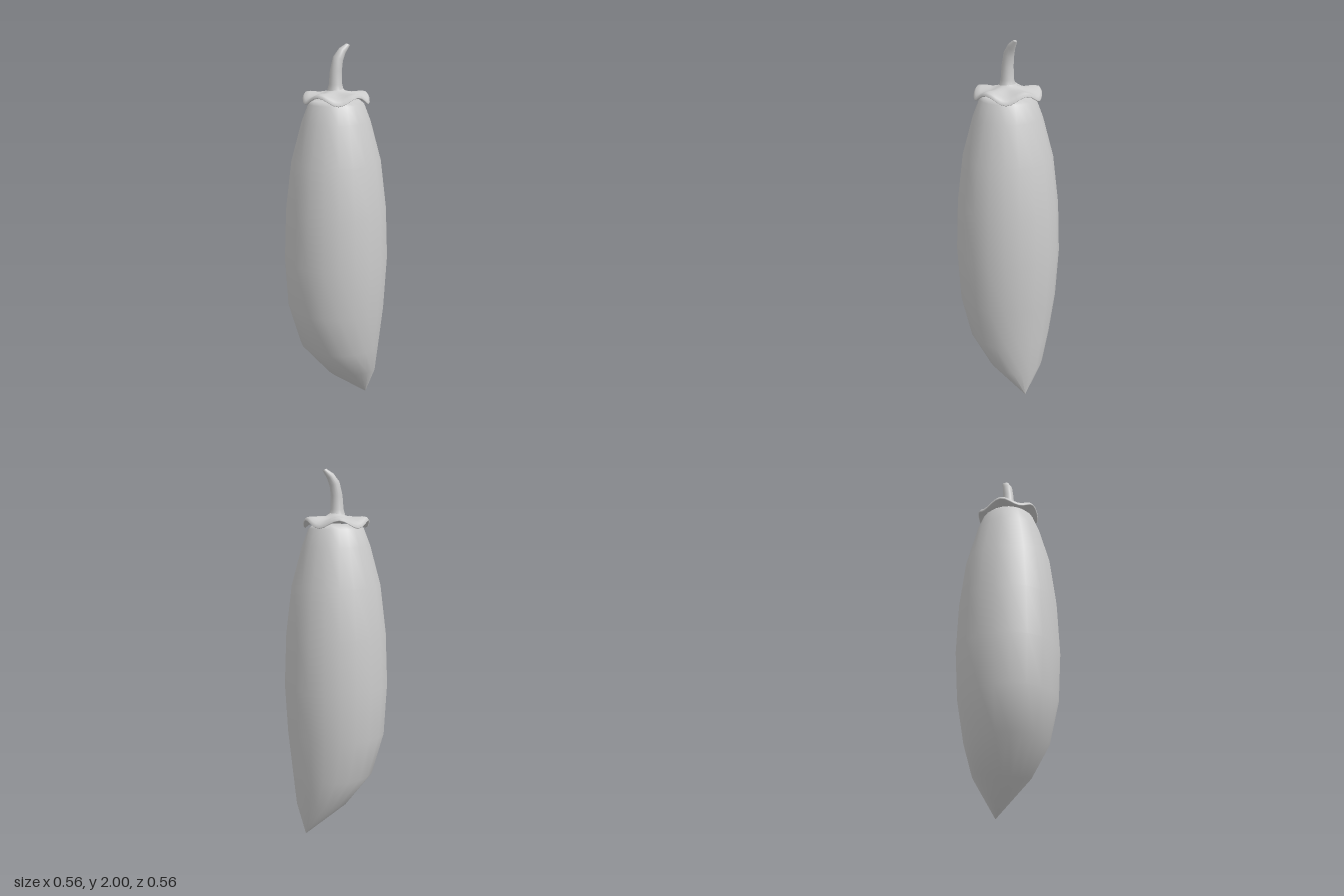
import * as THREE from 'three';

const SIDES = 20;

// Skin a stack of rings, listed from top to bottom (or outside to inside underneath)
function loft(name, rings, point, sides = SIDES) {
  const pos = [], index = [];
  rings.forEach((ring, i) => {
    for (let j = 0; j < sides; j++) {
      pos.push(...point(ring, (j / sides) * Math.PI * 2));
      if (i === rings.length - 1) continue;
      const a = i * sides + j, b = i * sides + (j + 1) % sides;
      index.push(a, b, a + sides, b, b + sides, a + sides);
    }
  });
  const geometry = new THREE.BufferGeometry();
  geometry.setAttribute('position', new THREE.Float32BufferAttribute(pos, 3));
  geometry.setIndex(index);
  geometry.computeVertexNormals();
  const mesh = new THREE.Mesh(geometry, new THREE.MeshStandardMaterial({ color: 0xcccccc }));
  mesh.name = name;
  return mesh;
}

export function createModel() {
  const model = new THREE.Group();
  model.name = 'pepper';

  // Fruit: [y, centre x, half width x, half width z, lift of front and back]
  const body = [
    [1.715, 0, 0, 0, 0],
    [1.71, 0, 0.125, 0.125, 0],
    [1.69, 0, 0.147, 0.147, 0],
    [1.60, 0, 0.182, 0.182, 0],
    [1.39, 0, 0.239, 0.239, 0],
    [1.13, 0, 0.271, 0.271, 0],
    [0.85, 0, 0.282, 0.282, 0],
    [0.58, 0, 0.267, 0.267, 0],
    [0.35, 0.022, 0.222, 0.222, 0],
    [0.165, 0.092, 0.134, 0.155, 0.03],
    [0, 0.185, 0, 0, 0],
  ];
  model.add(loft('fruit', body, ([y, cx, rx, rz, lift], a) =>
    [cx + rx * Math.cos(a), y + lift * Math.sin(a) ** 2, rz * Math.sin(a)]));

  // Calyx: thin five-lobed cap, top then underside: [radius, y, wave height]
  const calyx = [
    [0.03, 1.775, 0],
    [0.05, 1.757, 0],
    [0.09, 1.746, 0.005],
    [0.14, 1.742, 0.012],
    [0.165, 1.732, 0.018],
    [0.175, 1.716, 0.02],
    [0.17, 1.712, 0.02],
    [0.155, 1.722, 0.018],
    [0.12, 1.73, 0.01],
    [0.06, 1.735, 0],
  ];
  model.add(loft('calyx', calyx, ([r, y, wave], a) =>
    [r * Math.cos(a), y + wave * Math.cos(5 * a), r * Math.sin(a)], 40));

  // Stem bending towards the left: [y, centre x, radius, tilt]
  const stem = [
    [1.992, 0.066, 0, 0.5],
    [1.991, 0.066, 0.011, 0.5],
    [1.96, 0.034, 0.021, 0.75],
    [1.92, 0.01, 0.028, 0.45],
    [1.86, -0.002, 0.031, 0.1],
    [1.79, -0.004, 0.035, 0],
    [1.755, -0.004, 0.045, 0],
    [1.735, 0, 0.055, 0],
  ];
  model.add(loft('stem', stem, ([y, cx, r, tilt], a) => [
    cx + r * Math.cos(a) * Math.cos(tilt),
    y - r * Math.cos(a) * Math.sin(tilt),
    r * Math.sin(a),
  ], 16));

  return model;
}
